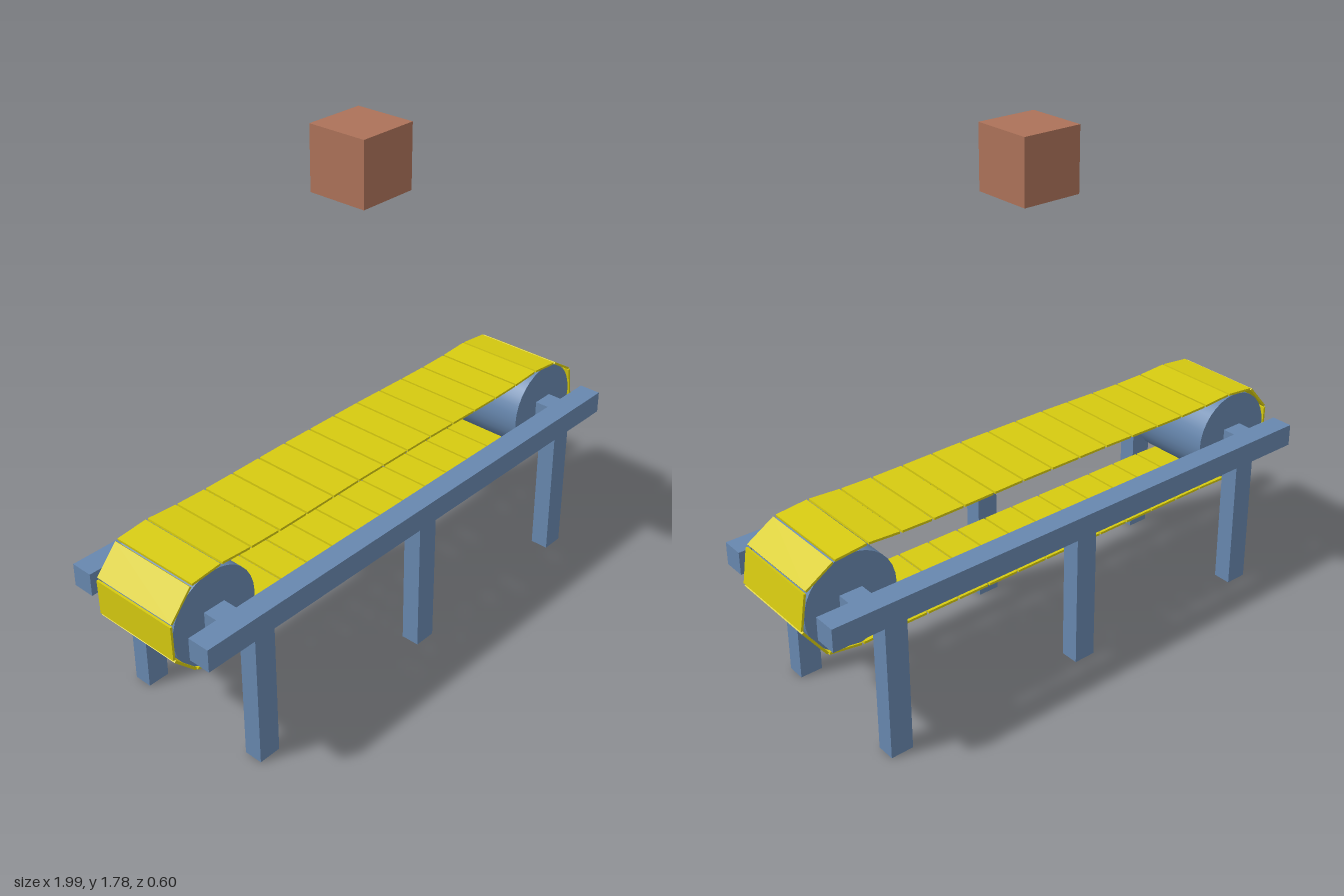
import * as THREE from 'three';

const steel = new THREE.MeshStandardMaterial({ color: 0x6787ae });
steel.name = 'steel blue';
const yellow = new THREE.MeshStandardMaterial({ color: 0xd6ca10 });
yellow.name = 'belt yellow';
const brown = new THREE.MeshStandardMaterial({ color: 0xac7259 });
brown.name = 'crate brown';

// Box given by its size and centre
function box(parent, name, material, [w, h, d], [x, y, z]) {
  const mesh = new THREE.Mesh(new THREE.BoxGeometry(w, h, d), material);
  mesh.name = name;
  mesh.position.set(x, y, z);
  parent.add(mesh);
  return mesh;
}

// Joints between slats, clockwise around the belt, seen from the front
function beltJoints() {
  const joints = [];
  const runs = 15;
  const sag = [0.682, 0.694, 0.687, 0.685, 0.686, 0.688];
  for (let i = 0; i <= runs; i++) {
    const fromEnd = Math.min(i, runs - i);
    joints.push([-0.91 + (i * 1.78) / runs, sag[fromEnd] ?? 0.69]);
  }
  joints.push([0.973, 0.617], [0.993, 0.488]);
  for (let i = 0; i <= runs; i++) {
    const fromEnd = Math.min(i, runs - i);
    joints.push([0.91 - (i * 1.82) / runs, fromEnd === 0 ? 0.374 : fromEnd === 1 ? 0.355 : 0.358]);
  }
  joints.push([-0.992, 0.455], [-0.994, 0.585]);
  return joints;
}

export function createModel() {
  const model = new THREE.Group();
  model.name = 'conveyor';

  // Side rails and legs
  for (const side of [1, -1]) {
    box(model, 'sideRail', steel, [1.955, 0.08, 0.08], [-0.003, 0.525, side * 0.261]);
    for (const x of [-0.752, -0.002, 0.752]) {
      box(model, 'leg', steel, [0.08, 0.486, 0.066], [x, 0.243, side * 0.261]);
    }
  }

  // Drums with their axles
  for (const x of [-0.825, 0.817]) {
    const drum = new THREE.Mesh(new THREE.CylinderGeometry(0.163, 0.163, 0.32, 32), steel);
    drum.name = 'drum';
    drum.rotation.x = Math.PI / 2;
    drum.position.set(x, 0.521, 0);
    model.add(drum);
    box(model, 'axle', steel, [0.08, 0.066, 0.45], [x, 0.522, 0]);
  }

  // Belt of separate slats
  const belt = new THREE.Group();
  belt.name = 'belt';
  const joints = beltJoints();
  joints.forEach(([x0, y0], i) => {
    const [x1, y1] = joints[(i + 1) % joints.length];
    const length = Math.hypot(x1 - x0, y1 - y0) - 0.008;
    const slat = box(belt, 'slat', yellow, [length, 0.008, 0.33], [(x0 + x1) / 2, (y0 + y1) / 2, 0]);
    slat.rotation.z = Math.atan2(y1 - y0, x1 - x0);
  });
  model.add(belt);

  // Crate hanging above the belt
  box(model, 'crate', brown, [0.216, 0.216, 0.216], [-0.003, 1.676, 0]);

  return model;
}
